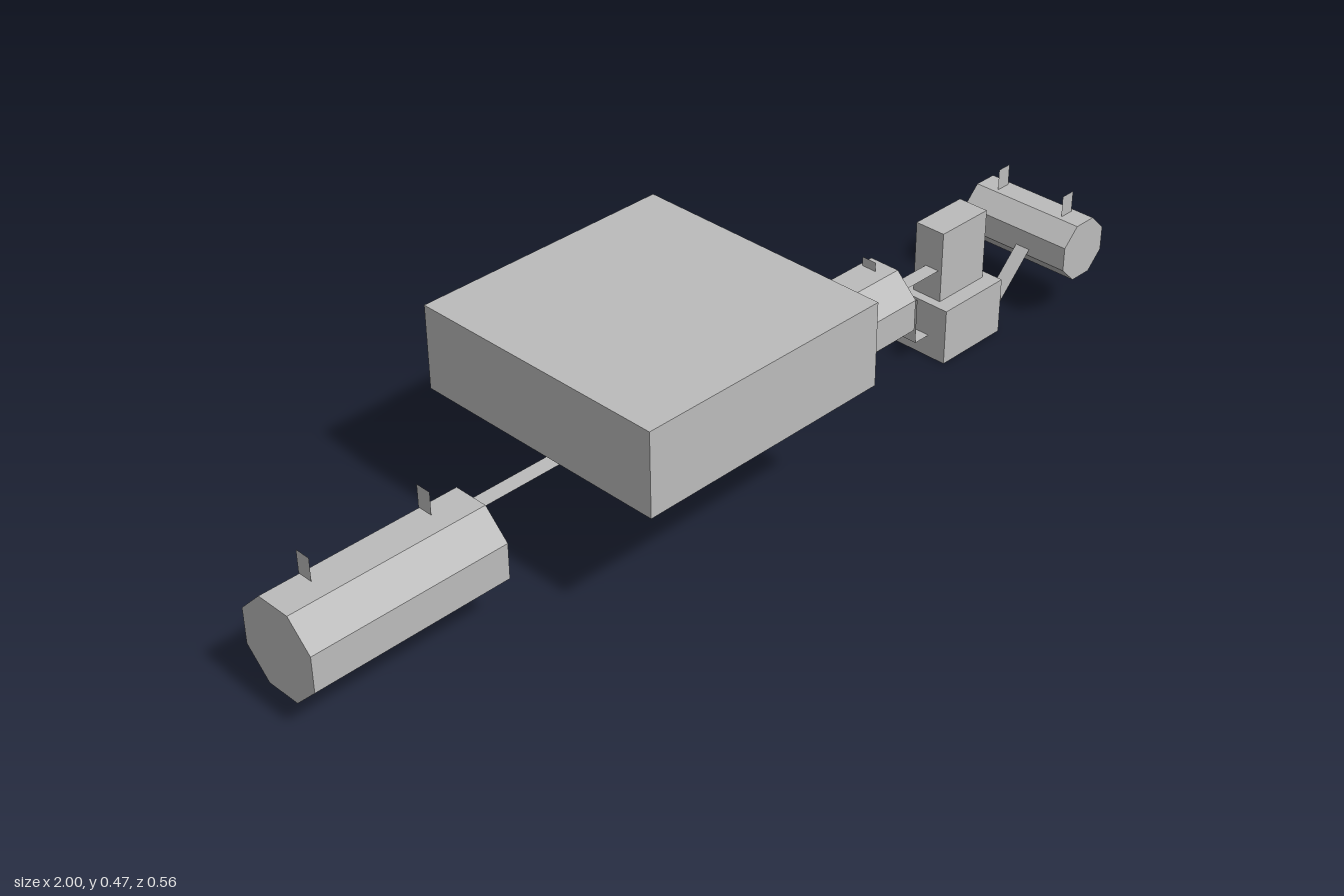
import * as THREE from 'three';

export function createModel() {
  const model = new THREE.Group();
  model.name = 'airTankAssembly';

  const grey = new THREE.MeshStandardMaterial({ color: 0xbcbcbc, side: THREE.DoubleSide });
  grey.name = 'primer grey';

  const add = (name, geometry, parent = model) => {
    const mesh = new THREE.Mesh(geometry, grey);
    mesh.name = name;
    parent.add(mesh);
    return mesh;
  };

  // Box given by its minimum and maximum corners
  const box = (name, x0, x1, y0, y1, z0, z1) => {
    const g = new THREE.BoxGeometry(x1 - x0, y1 - y0, z1 - z0);
    g.translate((x0 + x1) / 2, (y0 + y1) / 2, (z0 + z1) / 2);
    return add(name, g);
  };

  // Flat strip following [x, y] points, spread between z0 and z1
  const strip = (name, points, z0, z1) => {
    const pos = [];
    for (let i = 0; i < points.length - 1; i++) {
      const [ax, ay] = points[i];
      const [bx, by] = points[i + 1];
      pos.push(ax, ay, z0, ax, ay, z1, bx, by, z1, ax, ay, z0, bx, by, z1, bx, by, z0);
    }
    const g = new THREE.BufferGeometry();
    g.setAttribute('position', new THREE.Float32BufferAttribute(pos, 3));
    g.computeVertexNormals();
    return add(name, g);
  };

  // Eight-sided tank along x with two flat hanger tabs on top
  const tank = (name, length, apothem, tabOffset, tabTop, tabZ) => {
    const group = new THREE.Group();
    group.name = name;
    const r = apothem / Math.cos(Math.PI / 8);
    const body = new THREE.CylinderGeometry(r, r, length, 8).toNonIndexed();
    body.rotateY(Math.PI / 8);
    body.rotateZ(Math.PI / 2);
    body.computeVertexNormals();
    add(name + 'Body', body, group);
    for (const side of [-1, 1]) {
      const height = tabTop - apothem;
      const tab = new THREE.PlaneGeometry(0.034, height);
      tab.rotateY(Math.PI / 2);
      tab.translate(side * tabOffset, apothem + height / 2, tabZ);
      add('hangerTab', tab, group);
    }
    model.add(group);
    return group;
  };

  // Tanks
  tank('mainTank', 0.42, 0.091, 0.127, 0.139, -0.023).position.set(-0.79, 0.156, -0.038);
  tank('middleTank', 0.28, 0.083, 0.105, 0.103, -0.01).position.set(0.347, 0.177, -0.031);
  const cross = tank('crossTank', 0.262, 0.063, 0.083, 0.11, 0);
  cross.rotation.y = Math.PI / 2;
  cross.position.set(0.936, 0.17, -0.008);

  // Large equipment case
  box('equipmentCase', -0.46, 0.1, 0.299, 0.473, -0.282, 0.281);

  // Stepped valve block between the case and the middle tank
  box('valveUpper', 0.033, 0.1, 0.178, 0.28, -0.056, -0.023);
  box('valveNeck', 0.068, 0.14, 0.156, 0.188, -0.056, -0.023);
  box('valveBody', 0.138, 0.21, 0.142, 0.207, -0.072, 0.004);

  // Pump unit
  box('pumpBase', 0.608, 0.785, 0, 0.124, -0.104, 0.035);
  box('pumpHead', 0.629, 0.765, 0.124, 0.281, -0.07, 0);

  // Flat connecting pipes
  strip('mainPipe', [[-0.58, 0.225], [0.035, 0.225]], -0.056, -0.022);
  strip('upperPipe', [[0.487, 0.193], [0.629, 0.193]], -0.041, -0.008);
  strip('lowerPipe', [[0.487, 0.152], [0.567, 0.152], [0.567, 0.05], [0.608, 0.05]], -0.041, -0.008);
  strip('slantedPipe', [[0.785, 0.07], [0.875, 0.16]], 0, 0.034);

  return model;
}
